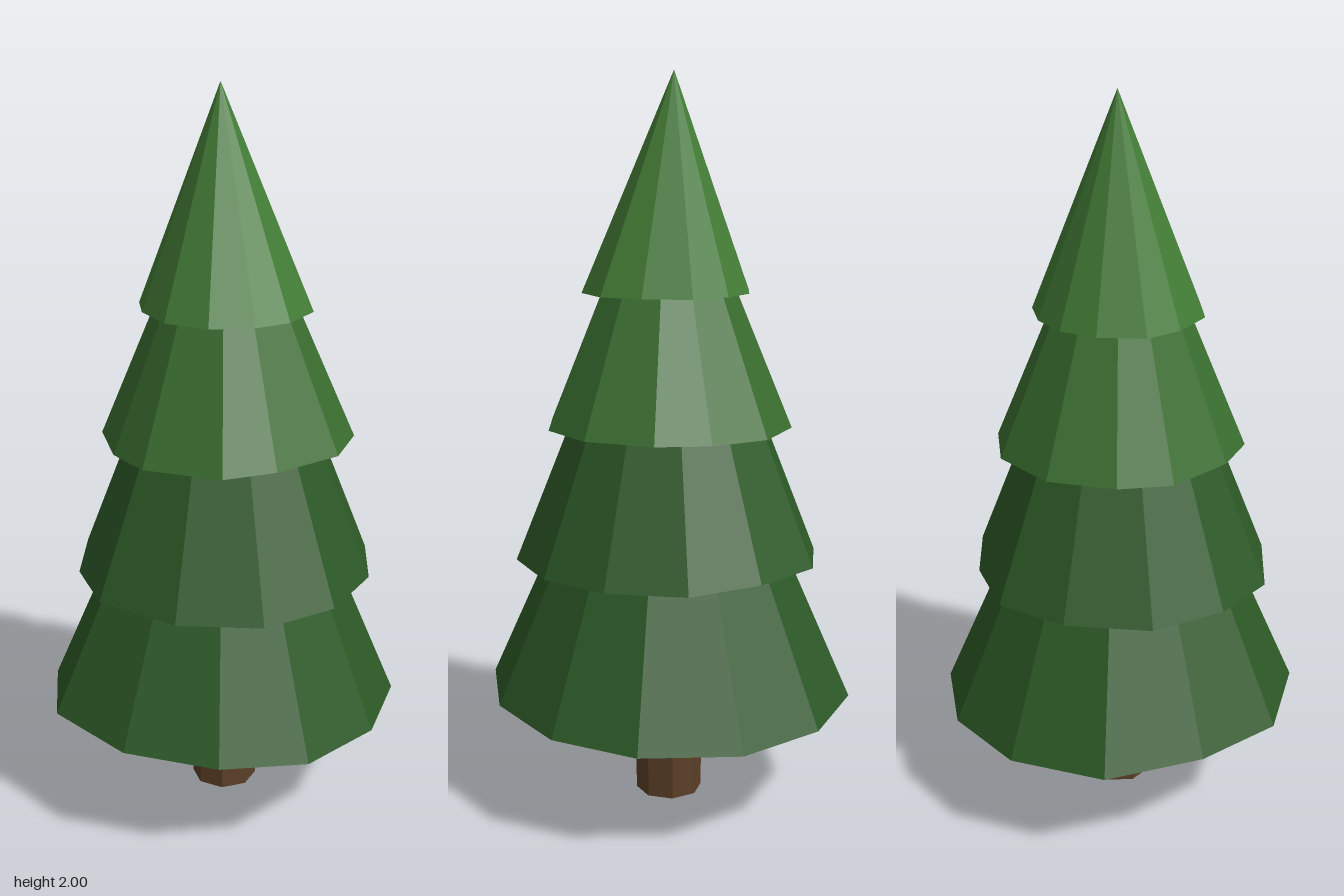
import * as THREE from 'three';

// Closed, faceted cone over an uneven rim given as x, z pairs (from +x round through +z).
function tierGeometry({ rim, y, apex, tilt = [0, 0] }) {
  const points = [];
  for (let i = 0; i < rim.length; i += 2) {
    const [x, z] = [rim[i], rim[i + 1]];
    points.push([x, y + tilt[0] * x + tilt[1] * z, z]);
  }
  const centre = [0, y, 0];
  const verts = [];
  points.forEach((p, i) => {
    const q = points[(i + 1) % points.length];
    verts.push(...p, ...apex, ...q); // side facet
    verts.push(...p, ...q, ...centre); // underside
  });
  const geometry = new THREE.BufferGeometry();
  geometry.setAttribute('position', new THREE.Float32BufferAttribute(verts, 3));
  geometry.computeVertexNormals();
  return geometry;
}

// Foliage tiers, lowest first
const tiers = [
  {
    name: 'bottomTier', color: 0x2d5a27, y: 0.313, apex: [0, 1.45, 0], tilt: [-0.02, 0.026],
    rim: [0.485, 0, 0.42, 0.255, 0.25, 0.445, 0.02, 0.496, -0.236, 0.44, -0.446, 0.255,
      -0.488, 0.01, -0.446, -0.26, -0.249, -0.443, 0, -0.504, 0.244, -0.438, 0.424, -0.239],
  },
  {
    name: 'lowerMiddleTier', color: 0x2d5a27, y: 0.697, apex: [0, 1.74, 0], tilt: [0, -0.01],
    rim: [0.403, 0.095, 0.308, 0.289, 0.13, 0.411, -0.098, 0.411, -0.31, 0.292, -0.393, 0.114,
      -0.403, -0.1, -0.281, -0.297, -0.109, -0.406, 0.098, -0.385, 0.294, -0.3, 0.398, -0.109],
  },
  {
    name: 'upperMiddleTier', color: 0x3a6e2f, y: 1.066, apex: [0, 1.87, 0], tilt: [0.01, 0.01],
    rim: [0.353, -0.008, 0.308, 0.159, 0.154, 0.289, 0.019, 0.347, -0.19, 0.284, -0.279, 0.175,
      -0.337, -0.01, -0.292, -0.149, -0.17, -0.29, 0.016, -0.34, 0.178, -0.284, 0.286, -0.183],
  },
  {
    name: 'topTier', color: 0x437d36, y: 1.424, apex: [-0.01, 2, -0.01],
    rim: [0.236, 0.037, 0.178, 0.154, 0.093, 0.21, -0.024, 0.23, -0.14, 0.18, -0.21, 0.07,
      -0.23, -0.035, -0.167, -0.145, -0.082, -0.207, 0.027, -0.22, 0.138, -0.19, 0.21, -0.08],
  },
];

export function createModel() {
  const tree = new THREE.Group();
  tree.name = 'pineTree';

  const addPart = (name, geometry, color) => {
    const material = new THREE.MeshStandardMaterial({ color, flatShading: true });
    const mesh = new THREE.Mesh(geometry, material);
    mesh.name = name;
    tree.add(mesh);
  };

  // Octagonal trunk, its top hidden in the foliage
  const trunk = new THREE.CylinderGeometry(0.093, 0.093, 0.4, 8);
  trunk.translate(0, 0.2, 0);
  addPart('trunk', trunk, 0x5c4027);

  for (const tier of tiers) addPart(tier.name, tierGeometry(tier), tier.color);
  return tree;
}
